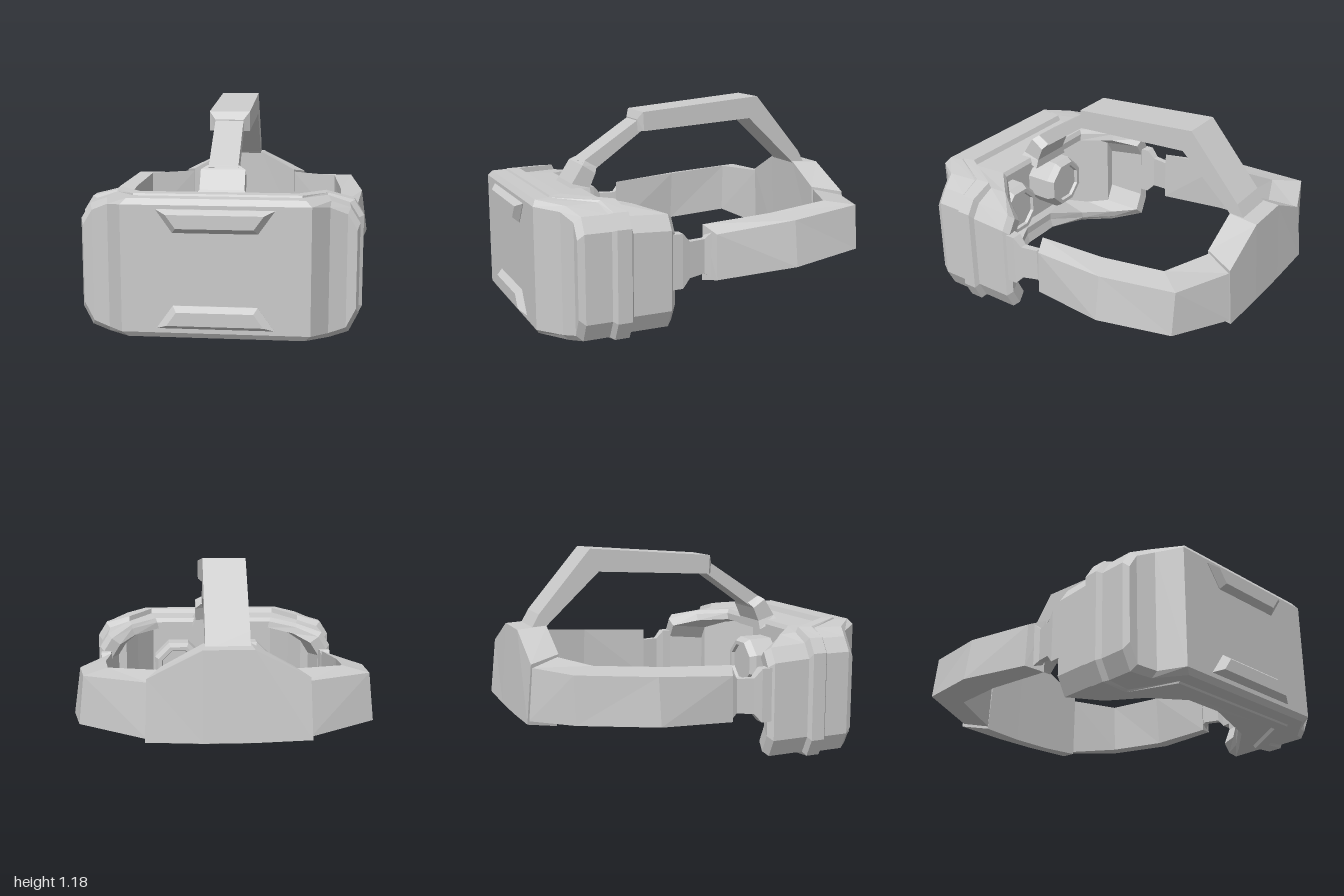
import * as THREE from 'three';

const material = new THREE.MeshStandardMaterial({ color: 0xcccccc, flatShading: true });

// Closed solid through a list of equal-length loops. End caps are strips that
// join point i with point n-1-i. Faces are turned outwards by signed volume.
function loft(name, loops) {
  const n = loops[0].length;
  const tris = [];
  const quad = (a, b, c, d) => tris.push([a, b, c], [a, c, d]);
  for (let k = 0; k < loops.length - 1; k++) {
    for (let i = 0; i < n; i++) {
      const j = (i + 1) % n;
      quad(loops[k][i], loops[k][j], loops[k + 1][j], loops[k + 1][i]);
    }
  }
  const first = loops[0], last = loops[loops.length - 1];
  for (let i = 0; i < n / 2 - 1; i++) {
    quad(first[i], first[n - 1 - i], first[n - 2 - i], first[i + 1]);
    quad(last[i], last[i + 1], last[n - 2 - i], last[n - 1 - i]);
  }
  let volume = 0;
  const [a, b, c] = [0, 0, 0].map(() => new THREE.Vector3());
  for (const t of tris) volume += a.fromArray(t[0]).dot(b.fromArray(t[1]).cross(c.fromArray(t[2])));
  if (volume < 0) tris.forEach((t) => t.reverse());
  const geometry = new THREE.BufferGeometry();
  geometry.setAttribute('position', new THREE.Float32BufferAttribute(tris.flat(2), 3));
  geometry.computeVertexNormals();
  const mesh = new THREE.Mesh(geometry, material);
  mesh.name = name;
  return mesh;
}

const mirrorX = (loops) => loops.map((loop) => loop.map(([x, y, z]) => [-x, y, z]));

// One outline of the visor: columns across the width, each with its own depth.
function visorRing({ a, b, w, top, bottom, z, notch = 0 }) {
  const xs = [0.12, a, b, w - 0.05, w];
  const zs = [z[0], z[0], z[1], z[2], z[2]];
  const dropTop = [0, 0, 0.02, 0.06, 0.14];
  const riseBottom = [0.015, 0.015, 0, 0.02, 0.12];
  const upper = xs.map((x, i) => [x, top - dropTop[i], zs[i]]);
  const lower = xs.map((x, i) => [x, bottom + riseBottom[i] + (i ? 0 : notch), zs[i] + (i ? 0 : notch)]);
  const flip = ([x, y, d]) => [-x, y, d];
  return [
    ...upper.map(flip).reverse(), ...upper,
    ...[...lower].reverse(), ...lower.map(flip),
  ];
}

// Rectangular section of the top strap: half width, outer z/y, inner z/y.
const strapSection = ([w, zo, yo, zi, yi]) => [[-w, yo, zo], [w, yo, zo], [w, yi, zi], [-w, yi, zi]];

// Upright rectangle at depth z.
const box = (x0, x1, y0, y1, z) => [[x0, y1, z], [x1, y1, z], [x1, y0, z], [x0, y0, z]];

export function createModel() {
  const model = new THREE.Group();
  model.name = 'headset';

  // Visor: front panel, raised band, rear shell, then the hollow for the face
  model.add(loft('visor', [
    { a: 0.48, b: 0.57, w: 0.71, top: 0.715, bottom: 0.04, z: [0.965, 0.85, 0.81] },
    { a: 0.45, b: 0.575, w: 0.725, top: 0.745, bottom: 0.01, z: [0.945, 0.82, 0.775] },
    { a: 0.43, b: 0.56, w: 0.725, top: 0.745, bottom: 0.01, z: [0.865, 0.645, 0.63] },
    { a: 0.43, b: 0.56, w: 0.75, top: 0.755, bottom: 0, z: [0.86, 0.63, 0.61] },
    { a: 0.41, b: 0.55, w: 0.75, top: 0.755, bottom: 0, z: [0.79, 0.545, 0.53] },
    { a: 0.41, b: 0.55, w: 0.725, top: 0.725, bottom: 0.02, z: [0.775, 0.53, 0.515] },
    { a: 0.38, b: 0.53, w: 0.725, top: 0.715, bottom: 0.02, z: [0.585, 0.44, 0.3], notch: 0.05 },
    { a: 0.37, b: 0.53, w: 0.7, top: 0.69, bottom: 0.045, z: [0.57, 0.42, 0.27], notch: 0.08 },
    { a: 0.36, b: 0.51, w: 0.65, top: 0.65, bottom: 0.09, z: [0.57, 0.42, 0.28], notch: 0.08 },
    { a: 0.4, b: 0.5, w: 0.62, top: 0.63, bottom: 0.11, z: [0.78, 0.62, 0.5] },
  ].map(visorRing)));

  // Bevelled trims on the front panel, the lower one upside down
  for (const [name, dir] of [['upperTrim', 1], ['lowerTrim', -1]]) {
    const trapezoid = (wide, narrow, far, near, z) => [
      [-wide, 0.387 + dir * far, z], [wide, 0.387 + dir * far, z],
      [narrow, 0.387 + dir * near, z], [-narrow, 0.387 + dir * near, z],
    ];
    model.add(loft(name, [
      trapezoid(0.3, 0.215, 0.308, 0.188, 0.94),
      trapezoid(0.3, 0.215, 0.308, 0.188, 0.968),
      trapezoid(0.245, 0.195, 0.285, 0.215, 1.0),
    ]));
  }

  // Eight-sided eyepieces with a recessed lens
  for (const [name, side] of [['leftEyepiece', 1], ['rightEyepiece', -1]]) {
    const profile = [[0.17, 0], [0.17, 0.16], [0.145, 0.2], [0.12, 0.2], [0.115, 0.18], [0, 0.18]]
      .map(([r, h]) => new THREE.Vector2(r, h));
    const eyepiece = new THREE.Mesh(new THREE.LatheGeometry(profile, 8, Math.PI / 8), material);
    eyepiece.name = name;
    eyepiece.rotation.x = -Math.PI / 2;
    eyepiece.position.set(side * 0.23, 0.385, 0.79);
    model.add(eyepiece);
  }

  // Side straps: inner top, outer top, outer bottom, inner bottom per station
  const sideStrap = [
    [[0.64, 0.57, 0.08], [0.73, 0.53, 0.04], [0.74, 0.28, 0.04], [0.64, 0.26, 0.08]],
    [[0.65, 0.595, -0.33], [0.785, 0.575, -0.41], [0.82, 0.32, -0.41], [0.67, 0.285, -0.33]],
    [[0.615, 0.625, -0.7], [0.73, 0.61, -0.84], [0.755, 0.36, -0.84], [0.62, 0.32, -0.7]],
    [[0.34, 0.63, -0.81], [0.4, 0.595, -0.965], [0.41, 0.315, -0.99], [0.35, 0.27, -0.82]],
  ];
  // Hinge block on the visor with a thin neck to the strap
  const hinge = [
    box(0.65, 0.715, 0.25, 0.55, 0.3),
    box(0.655, 0.715, 0.25, 0.55, 0.23),
    box(0.665, 0.705, 0.3, 0.5, 0.185),
    box(0.65, 0.685, 0.31, 0.5, 0.09),
    box(0.645, 0.7, 0.28, 0.54, 0.05),
  ];
  model.add(loft('leftStrap', sideStrap), loft('rightStrap', mirrorX(sideStrap)));
  model.add(loft('leftHinge', hinge), loft('rightHinge', mirrorX(hinge)));

  // Back pad, tallest in the middle
  const padSide = [
    [[0.34, 0.645, -0.8], [0.41, 0.615, -0.97], [0.42, 0.3, -1.0], [0.35, 0.255, -0.82]],
    [[0.12, 0.765, -0.8], [0.13, 0.755, -0.967], [0.13, 0.29, -1.0], [0.12, 0.24, -0.82]],
  ];
  model.add(loft('backPad', [...padSide, ...mirrorX(padSide).reverse()]));

  // Top strap: clip on the visor, thin link, thick arch down to the back pad
  model.add(loft('topClip', [
    [0.14, 0.65, 0.71, 0.53, 0.66], [0.12, 0.635, 0.74, 0.53, 0.71],
    [0.12, 0.57, 0.84, 0.495, 0.79], [0.085, 0.545, 0.86, 0.475, 0.82],
  ].map(strapSection)));
  model.add(loft('topLink', [
    [0.08, 0.56, 0.85, 0.49, 0.8], [0.08, 0.2, 1.085, 0.18, 1.02],
  ].map(strapSection)));
  model.add(loft('topStrap', [
    [0.08, 0.225, 1.075, 0.22, 1.01], [0.115, 0.2, 1.12, 0.195, 1.01],
    [0.115, -0.54, 1.18, -0.49, 1.05], [0.115, -0.84, 0.83, -0.79, 0.77],
    [0.115, -0.89, 0.74, -0.83, 0.72],
  ].map(strapSection)));

  return model;
}
